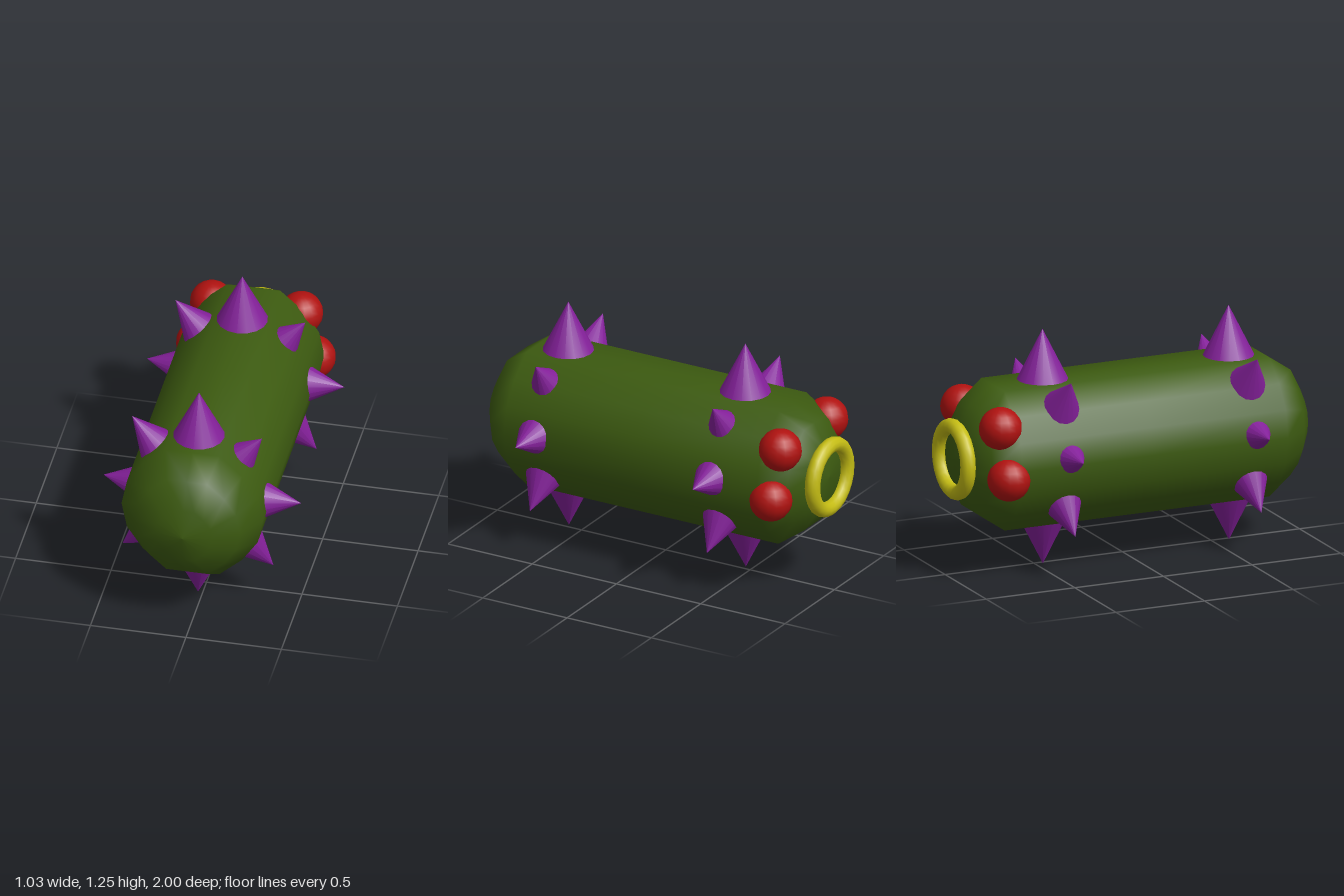
import * as THREE from 'three';

const CX = -0.02, CY = 0.62; // centre line of the body

export function createModel() {
  const group = new THREE.Group();
  const mat = (color) => new THREE.MeshStandardMaterial({ color });
  const green = mat(0x3c5a10), purple = mat(0x84209a), red = mat(0xb01210), yellow = mat(0xc4bc14);
  const add = (name, geometry, material, x, y, z) => {
    const mesh = new THREE.Mesh(geometry, material);
    mesh.name = name;
    mesh.position.set(x, y, z);
    group.add(mesh);
    return mesh;
  };

  // Capsule body lying along z, slightly flattened on top and underneath
  const profile = [[0, -0.96], [0.15, -0.945], [0.28, -0.87], [0.37, -0.74], [0.37, 0],
    [0.37, 0.755], [0.28, 0.89], [0.15, 0.97], [0, 1]].map(([r, z]) => new THREE.Vector2(r, z));
  const bodyGeo = new THREE.LatheGeometry(profile, 16).rotateX(Math.PI / 2);
  const p = bodyGeo.attributes.position;
  for (let i = 0; i < p.count; i++) {
    const r = Math.hypot(p.getX(i), p.getY(i));
    if (Math.abs(p.getX(i)) < 0.4 * r) p.setY(i, Math.sign(p.getY(i)) * r);
  }
  add('body', bodyGeo, green, CX, CY, 0);

  // Two rings of eight radial spikes, given by their tips
  const tips = [[-0.02, 1.255], [0.31, 1.015], [0.515, 0.64], [0.37, 0.23],
    [-0.025, 0.005], [-0.42, 0.25], [-0.52, 0.665], [-0.37, 1.055]];
  const spikeGeo = new THREE.ConeGeometry(0.145, 0.29, 16).translate(0, -0.145, 0);
  for (const z of [0.59, -0.46]) {
    for (const [x, y] of tips) {
      const spike = add('spike', spikeGeo, purple, x, y, z);
      spike.rotation.z = Math.atan2(y - CY, x - CX) - Math.PI / 2;
    }
  }

  // Round boils on both sides of the rear end
  const boilGeo = new THREE.SphereGeometry(0.112, 16, 12);
  for (const side of [-1, 1]) {
    add('upperBoil', boilGeo, red, CX + side * 0.235, 0.825, -0.805);
    add('lowerBoil', boilGeo, red, CX + side * 0.305, 0.57, -0.79);
  }

  // Ring around the rear opening
  add('rearRing', new THREE.TorusGeometry(0.173, 0.04, 12, 24), yellow, CX, CY, -0.96);

  return group;
}
